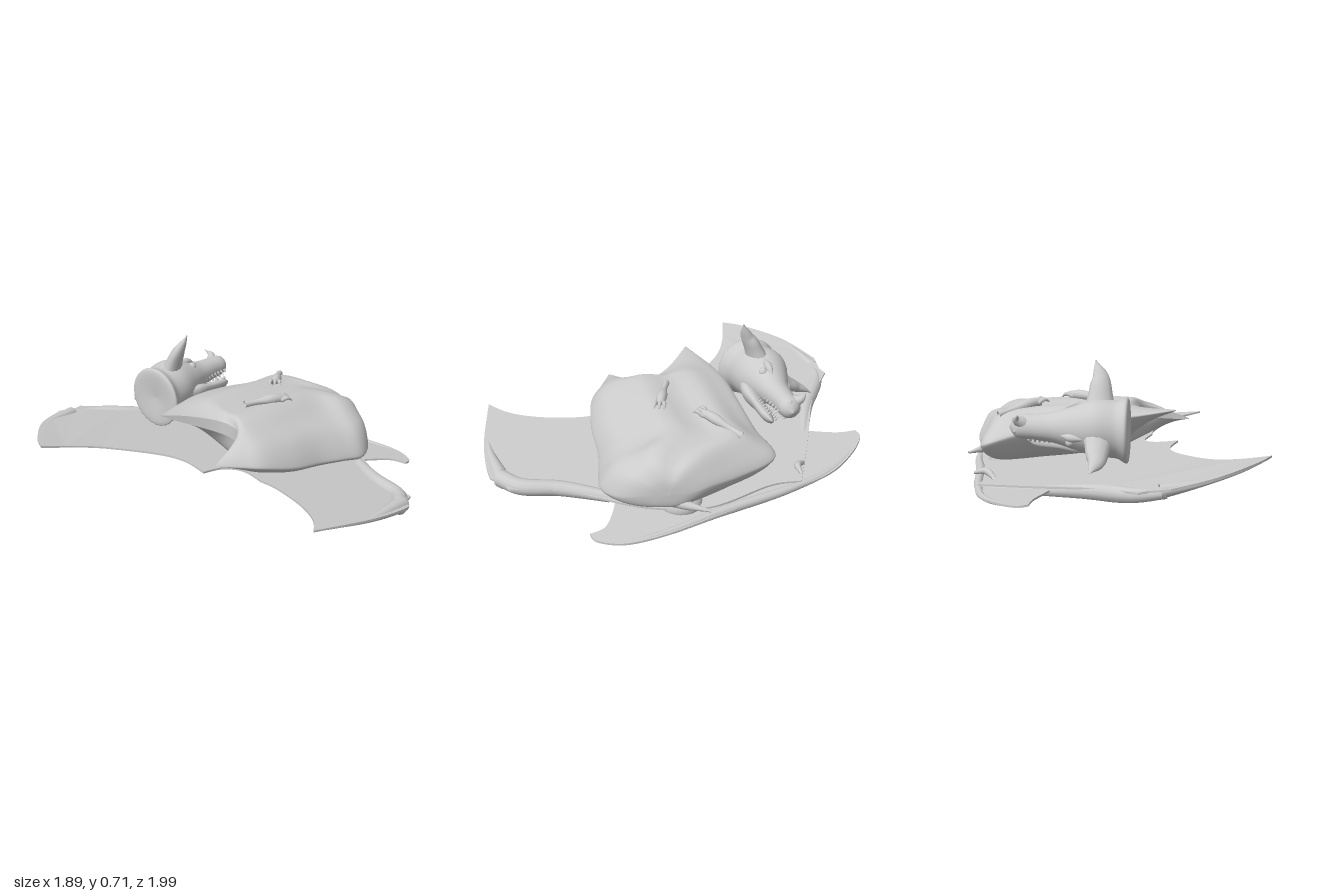
import * as THREE from 'three';

const mat = new THREE.MeshStandardMaterial({ color: 0xcccccc, roughness: 0.8, side: THREE.DoubleSide });
const V = (x, y, z) => new THREE.Vector3(x, y, z);
// Tilted sheet in which the wings and tail fin lie, curling up at the rear wing tip
const planeY = (x, z) => 0.163 - 0.12 * x + 0.03 * z + 0.12 * Math.max(0, -x - 0.5) ** 2;

function add(parent, name, geo) {
  const m = new THREE.Mesh(geo, mat);
  m.name = name;
  parent.add(m);
  return m;
}

// Closed-ring surface: fn(u, angle) gives a point
function rings(nu, nv, fn) {
  const pos = [], idx = [];
  for (let i = 0; i <= nu; i++)
    for (let j = 0; j < nv; j++) pos.push(...fn(i / nu, (j / nv) * Math.PI * 2).toArray());
  for (let i = 0; i < nu; i++)
    for (let j = 0; j < nv; j++) {
      const a = i * nv + j, b = a + nv, k = (j + 1) % nv, c = i * nv + k, d = c + nv;
      idx.push(a, c, b, b, c, d);
    }
  const g = new THREE.BufferGeometry();
  g.setAttribute('position', new THREE.Float32BufferAttribute(pos, 3));
  g.setIndex(idx);
  g.computeVertexNormals();
  return g;
}

// Smooth interpolation through rows of numbers
function sample(rows, u) {
  const f = u * (rows.length - 1), i = Math.min(Math.floor(f), rows.length - 2), t = f - i;
  const at = k => rows[Math.max(0, Math.min(rows.length - 1, k))];
  return rows[0].map((_, c) => {
    const [a, b, d, e] = [at(i - 1)[c], at(i)[c], at(i + 1)[c], at(i + 2)[c]];
    return b + 0.5 * t * (d - a + t * (2 * a - 5 * b + 4 * d - e + t * (3 * (b - d) + e - a)));
  });
}

// Elliptical sections along x: [x, y, z, ry, rz]
const loft = (rows, nu = 36, nv = 28) => rings(nu, nv, (u, a) => {
  const [x, y, z, ry, rz] = sample(rows, u);
  return V(x, y + Math.max(0, ry) * Math.cos(a), z + Math.max(0, rz) * Math.sin(a));
});

// Tapered tube: path points with a list of radii
function limb(pts, radii, nu = 28, nv = 12) {
  const curve = new THREE.CatmullRomCurve3(pts.map(p => V(...p)));
  const fr = curve.computeFrenetFrames(nu, false), rr = radii.map(r => [r]);
  return rings(nu, nv, (u, a) => {
    const i = Math.round(u * nu), r = Math.max(0, sample(rr, u)[0]);
    return curve.getPointAt(u).addScaledVector(fr.normals[i], r * Math.cos(a))
      .addScaledVector(fr.binormals[i], r * Math.sin(a));
  });
}

// Thin membrane in the tilted sheet; each segment is a curve between two cusps
function membrane(segments, drop = 0) {
  const s = new THREE.Shape();
  s.moveTo(segments[0][0][0], -segments[0][0][1]);
  segments.forEach((seg, i) => {
    const pts = i ? seg : seg.slice(1);
    s.splineThru(pts.map(p => new THREE.Vector2(p[0], -p[1])));
  });
  const g = new THREE.ExtrudeGeometry(s, { depth: 0.01, bevelEnabled: false, curveSegments: 6 });
  g.rotateX(-Math.PI / 2);
  const p = g.attributes.position;
  for (let i = 0; i < p.count; i++)
    p.setY(i, p.getY(i) + planeY(p.getX(i), p.getZ(i)) - 0.005 - drop);
  g.computeVertexNormals();
  return g;
}
const onPlane = (list, dy = 0) => list.map(([x, z]) => [x, planeY(x, z) + dy, z]);

function createModel() {
  const root = new THREE.Group();

  // Pair of wings as one sheet beneath the body
  add(root, 'wingMembrane', membrane([
    [[-0.95, -0.29], [-0.92, -0.42], [-0.81, -0.64], [-0.64, -0.81]],
    [[-0.54, -0.83]],
    [[-0.5, -0.86]],
    [[-0.25, -0.77], [0.1, -0.72], [0.46, -0.66]],
    [[0.5, -0.5], [0.68, -0.2], [0.7, 0.1], [0.64, 0.35]],
    [[0.6, 0.55], [0.6, 0.8]],
    [[0.52, 0.86]],
    [[0.5, 0.91], [0.25, 0.97], [-0.1, 0.99]],
    [[-0.03, 0.87], [0, 0.7], [-0.01, 0.5], [-0.04, 0.4]],
    [[-0.06, 0.25], [-0.15, 0.19], [-0.27, 0.21]],
    [[-0.29, 0.05], [-0.38, -0.08], [-0.6, -0.23], [-0.76, -0.28], [-0.95, -0.29]],
  ]));
  // Wing bones along the leading edges and out to the finger tips
  add(root, 'rearWingArm', limb(onPlane([[0.46, -0.64], [0.1, -0.69], [-0.22, -0.73], [-0.48, -0.805], [-0.61, -0.78]], -0.022),
    [0.012, 0.022, 0.034, 0.042, 0.025]));
  add(root, 'rearWingFinger', limb(onPlane([[-0.58, -0.79], [-0.76, -0.67], [-0.89, -0.46], [-0.945, -0.3]], -0.008), [0.035, 0.014, 0.008, 0]));
  add(root, 'frontWingArm', limb(onPlane([[0.61, 0.3], [0.56, 0.55], [0.555, 0.75], [0.49, 0.86]], -0.008), [0.03, 0.038, 0.042, 0.045]));
  add(root, 'frontWingFinger', limb(onPlane([[0.52, 0.84], [0.25, 0.945], [-0.09, 0.985]], -0.008), [0.042, 0.014, 0]));
  add(root, 'wristThumb', limb(onPlane([[0.52, 0.8], [0.49, 0.86], [0.45, 0.885]], -0.025), [0.03, 0.035, 0.01]));
  add(root, 'wingHook', limb([[0.36, 0.14, -0.67], [0.42, 0.16, -0.64], [0.48, 0.15, -0.655]], [0.012, 0.018, 0.008]));

  // Crescent tail fin with a thick outer edge
  add(root, 'tailFin', membrane([
    [[0, -0.98], [0.06, -1], [0.2, -0.94], [0.36, -0.82], [0.5, -0.62], [0.7, -0.27], [0.86, 0], [0.94, 0.2], [0.93, 0.34], [0.88, 0.38]],
    [[0.83, 0.31], [0.72, 0.28], [0.62, 0.27]],
    [[0.54, 0.05], [0.45, -0.25], [0.28, -0.5]],
    [[0.15, -0.62], [0.02, -0.73]],
    [[0.025, -0.88], [0, -0.98]],
  ], 0.018));
  add(root, 'tailFinEdge', limb(onPlane([[0.03, -0.98], [0.18, -0.93], [0.34, -0.81], [0.49, -0.6], [0.68, -0.25], [0.84, 0.01], [0.92, 0.2], [0.915, 0.34]], -0.022),
    [0.006, 0.012, 0.018, 0.024, 0.026, 0.02, 0.014, 0.004], 40));
  const rump = add(root, 'tailBase', new THREE.SphereGeometry(1, 24, 16));
  rump.scale.set(0.1, 0.075, 0.11);
  rump.position.set(0.63, 0.076, -0.05);
  // Folded hind leg along the rear hem of the torso
  add(root, 'hindLeg', limb([[0.58, 0.12, 0.34], [0.67, 0.13, 0.2], [0.71, 0.135, 0], [0.75, 0.13, -0.1], [0.785, 0.125, -0.2]],
    [0.008, 0.024, 0.03, 0.026, 0.006]));

  // Torso: [x, zMin, zMax, yBottom, yTop, frontDrop, backRise, neckNotch]
  const torso = [
    [-0.37, -0.07, 0.35, 0.32, 0.39, 0.055, 0.075, 0.3],
    [-0.2, -0.2, 0.39, 0.22, 0.425, 0.04, 0.085, 0.15],
    [-0.05, -0.28, 0.43, 0.18, 0.43, 0.04, 0.09, 0.05],
    [0.15, -0.35, 0.42, 0.15, 0.425, 0.07, 0.08, 0],
    [0.34, -0.43, 0.375, 0.13, 0.415, 0.09, 0.04, 0],
    [0.5, -0.52, 0.36, 0.12, 0.4, 0.1, 0, 0],
    [0.62, -0.35, 0.345, 0.11, 0.38, 0.1, -0.02, 0],
    [0.71, -0.21, 0.26, 0.11, 0.34, 0.07, 0, 0],
    [0.755, -0.1, 0.14, 0.13, 0.28, 0.02, 0, 0],
    [0.765, 0.0, 0.01, 0.2, 0.21, 0, 0, 0],
  ];
  const power = (v, e) => Math.sign(v) * Math.abs(v) ** e;
  const torsoPoint = (u, a, flat = 1) => {
    const [x, z0, z1, y0, y1, drop, rise, notch] = sample(torso, u);
    const s = power(Math.sin(a), 0.85), top = Math.cos(a) > 0;
    const c = power(Math.cos(a), 0.85 + 0.55 * Math.abs(s)) * flat;
    const fold = top ? 0.016 * Math.sin(s * 9) * Math.cos(a) * Math.sin(Math.PI * u) : 0;
    const lean = -s * Math.abs(s) * (s > 0 ? drop : rise);
    return V(x + notch * (1 - s * s + 0.3 * Math.max(0, s)), (y0 + y1) / 2 + lean + c * (y1 - y0) / 2 + fold,
      (z0 + z1) / 2 + s * (z1 - z0) / 2);
  };
  add(root, 'torso', rings(60, 56, (u, a) => torsoPoint(u, a)));
  // Cut face of the neck
  add(root, 'neckStump', rings(6, 56, (u, a) => torsoPoint(0, a, 1 - u)));

  // Small arms with clawed hands resting on the torso
  for (const [from, to, y0, y1] of [[[0.51, -0.35], [0.37, -0.16], 0.385, 0.43], [[0.07, 0.03], [0.28, 0.055], 0.44, 0.435]]) {
    const arm = new THREE.Group();
    arm.name = 'arm';
    const dx = to[0] - from[0], dz = to[1] - from[1], len = Math.hypot(dx, dz);
    arm.position.set(from[0], y0, from[1]);
    arm.rotation.set(0, Math.atan2(-dz, dx), Math.atan2(y1 - y0, len), 'YZX');
    add(arm, 'forearm', limb([[0, 0, 0], [len * 0.5, 0.005, 0], [len * 0.85, 0.008, 0], [len + 0.01, 0, 0]], [0.018, 0.016, 0.027, 0.022]));
    for (const k of [-1, 0, 1])
      add(arm, 'finger', limb([[len - 0.01, 0, k * 0.016], [len + 0.025, 0.012, k * 0.024], [len + 0.05, -0.004, k * 0.026]], [0.012, 0.011, 0.004], 10, 8));
    root.add(arm);
  }

  // Head, rolled on its side: local x forward, y crown, z sideways
  const head = new THREE.Group();
  head.name = 'head';
  const X = V(0.94, 0, -0.34).normalize();
  const Y = V(0, 0.6, -0.8);
  Y.addScaledVector(X, -Y.dot(X)).normalize();
  head.applyMatrix4(new THREE.Matrix4().makeBasis(X, Y, V(0, 0, 0).crossVectors(X, Y)).setPosition(-0.1, 0.38, -0.455));
  add(head, 'skull', loft([
    [-0.15, -0.005, 0, 0, 0], [-0.16, -0.005, 0, 0.155, 0.155], [-0.1, 0.01, 0, 0.145, 0.142], [0, 0.025, 0, 0.145, 0.14],
    [0.1, 0.025, 0, 0.11, 0.112], [0.2, 0.022, 0, 0.075, 0.08], [0.3, 0.025, 0, 0.06, 0.066], [0.39, 0.025, 0, 0.052, 0.055], [0.43, 0.02, 0, 0, 0],
  ], 48));
  add(head, 'lowerJaw', loft([
    [-0.03, -0.06, 0, 0.03, 0.06], [0.08, -0.08, 0, 0.045, 0.085], [0.19, -0.088, 0, 0.03, 0.064], [0.31, -0.092, 0, 0.024, 0.046], [0.37, -0.086, 0, 0, 0],
  ]));
  add(head, 'noseHorn', limb([[0.35, 0.05, 0], [0.385, 0.1, 0], [0.37, 0.145, 0]], [0.036, 0.022, 0]));
  for (const side of [-1, 1]) {
    // Ear: broad flattened leaf leaning outward
    const ear = add(head, 'ear', limb([[0, 0, 0], [0, 0.09, 0], [0, 0.15, 0.01], [0.02, 0.21, 0.02], [0.03, 0.24, 0.02]], [0.085, 0.07, 0.058, 0.036, 0.005]));
    ear.scale.set(0.9, 1, 0.6);
    ear.position.set(-0.02, 0.07, side * 0.085);
    ear.rotation.set(side * 1.28, side * 0.3, 0);
    const eye = add(head, 'eye', new THREE.SphereGeometry(0.022, 16, 12));
    eye.position.set(0.12, 0.045, side * 0.094);
    add(head, 'brow', limb([[0.05, 0.09, side * 0.1], [0.11, 0.085, side * 0.09], [0.17, 0.065, side * 0.065]], [0.008, 0.02, 0.006], 14, 10));
    add(head, 'nostril', new THREE.SphereGeometry(0.015, 12, 8)).position.set(0.39, 0.045, side * 0.035);
    // Upper and lower teeth
    for (let i = 0; i < 7; i++) {
      const w = 0.06 - i * 0.003;
      const up = add(head, 'upperTooth', new THREE.ConeGeometry(0.009, i === 5 ? 0.04 : 0.026, 8));
      up.rotation.x = Math.PI;
      up.position.set(0.2 + i * 0.028, -0.036, side * w * 0.7);
      const low = add(head, 'lowerTooth', new THREE.ConeGeometry(0.008, 0.026, 8));
      low.position.set(0.19 + i * 0.024, -0.062, side * w * 0.65);
    }
  }
  root.add(head);
  return root;
}

export { createModel };
